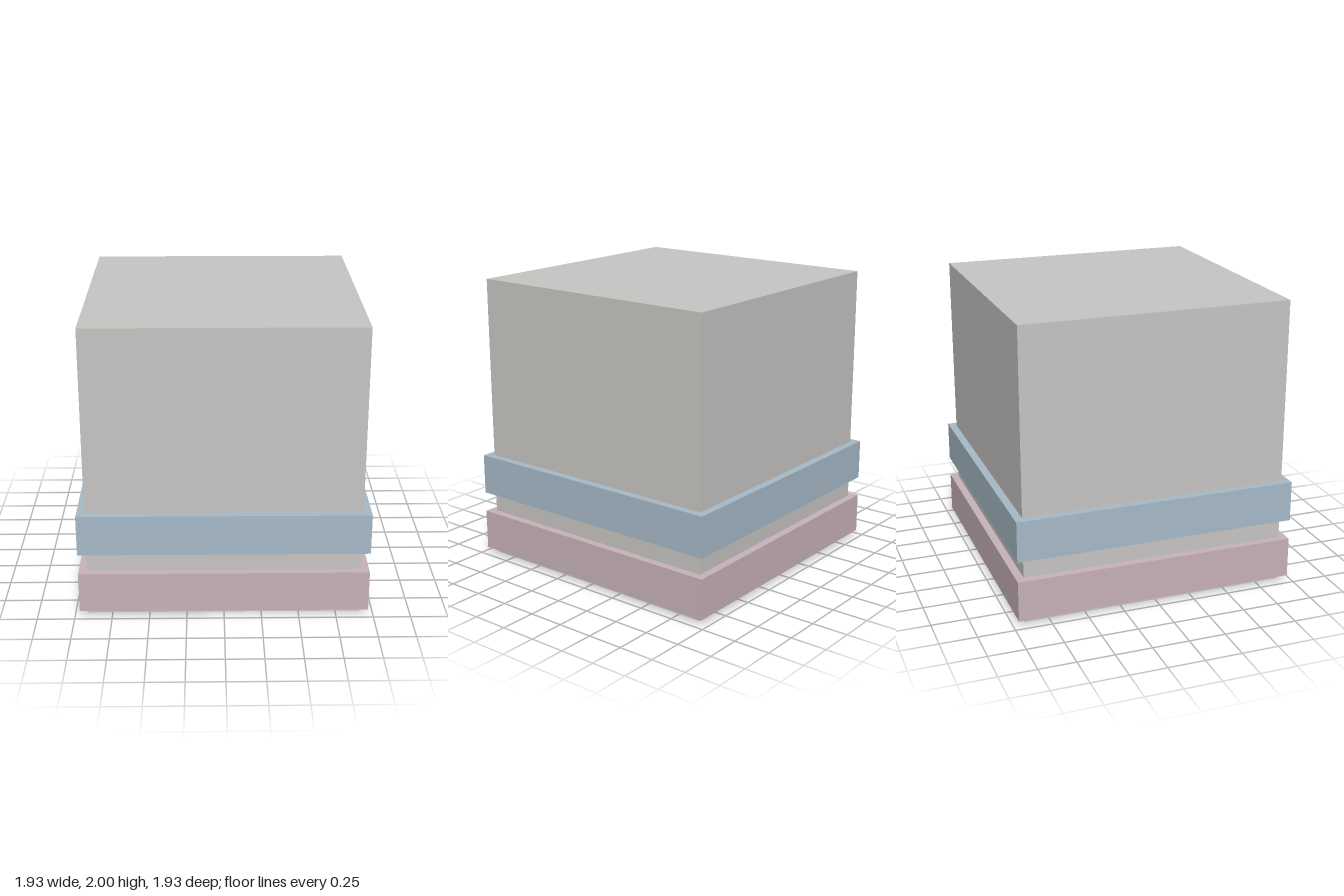
import * as THREE from 'three';

const material = (name, color) => {
  const m = new THREE.MeshStandardMaterial({ color });
  m.name = name;
  return m;
};

// Square block centred on the y axis, from y0 to y1
function block(name, width, y0, y1, mat) {
  const mesh = new THREE.Mesh(new THREE.BoxGeometry(width, y1 - y0, width), mat);
  mesh.name = name;
  mesh.position.y = (y0 + y1) / 2;
  return mesh;
}

// Square ring that wraps the body, open in the middle
function band(name, outer, inner, y0, y1, mat) {
  const square = (Type, h) => new Type([[-h, -h], [h, -h], [h, h], [-h, h]].map(([x, y]) => new THREE.Vector2(x, y)));
  const shape = square(THREE.Shape, outer / 2);
  shape.holes.push(square(THREE.Path, inner / 2));
  const geometry = new THREE.ExtrudeGeometry(shape, { depth: y1 - y0, bevelEnabled: false });
  geometry.rotateX(-Math.PI / 2);
  const mesh = new THREE.Mesh(geometry, mat);
  mesh.name = name;
  mesh.position.y = y0;
  return mesh;
}

export function createModel() {
  const group = new THREE.Group();
  group.name = 'bandedBlock';
  const grey = material('warm grey', 0xc8c6c3);
  const blue = material('dusty blue', 0xa7bac8);
  const pink = material('dusty pink', 0xc8b2ba);

  const bodyWidth = 1.828, bandWidth = 1.934;
  group.add(
    block('body', bodyWidth, 0, 2, grey),
    band('lowerBand', bandWidth, bodyWidth, 0.04, 0.32, pink),
    band('upperBand', bandWidth, bodyWidth, 0.46, 0.74, blue),
  );
  return group;
}
